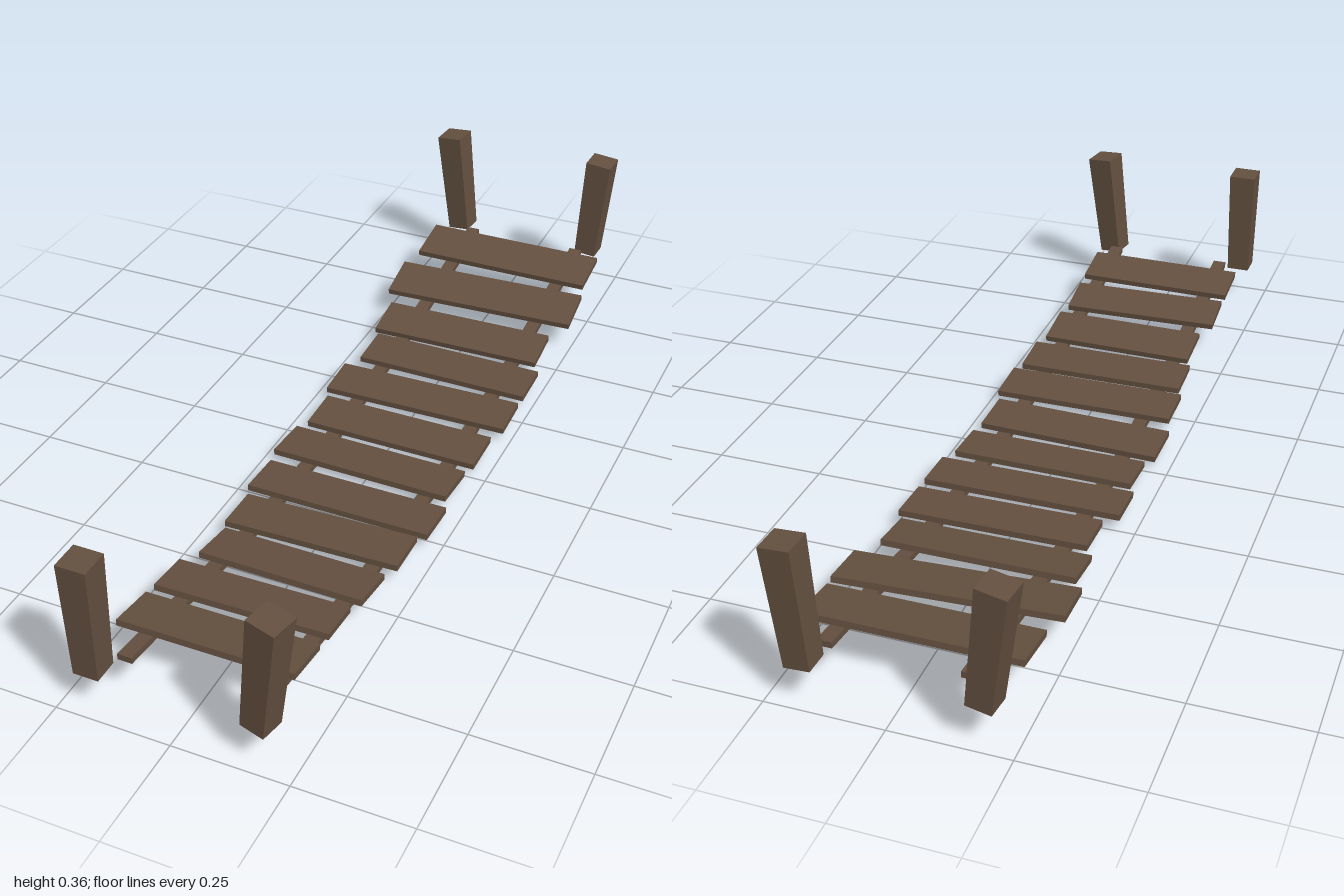
import * as THREE from 'three';

export function createModel() {
  const group = new THREE.Group();
  const wood = new THREE.MeshStandardMaterial({ color: 0x645040, side: THREE.DoubleSide });
  wood.name = 'weathered wood';

  function add(name, geometry) {
    const mesh = new THREE.Mesh(geometry, wood);
    mesh.name = name;
    group.add(mesh);
    return mesh;
  }

  // Sagging rails: a bent strip extruded across the width
  const sag = [[-0.92, 0.107], [-0.43, 0.041], [0, 0.014], [0.43, 0.041], [0.92, 0.107]];
  const strip = new THREE.Shape([
    ...sag.map(([z, y]) => new THREE.Vector2(z, y - 0.014)),
    ...sag.slice().reverse().map(([z, y]) => new THREE.Vector2(z, y)),
  ]);
  for (const [name, x] of [['rightRail', -0.136], ['leftRail', 0.155]]) {
    const rail = new THREE.ExtrudeGeometry(strip, { depth: 0.032, bevelEnabled: false });
    rail.translate(0, 0, -0.016).rotateY(-Math.PI / 2).translate(x, 0, 0);
    add(name, rail);
  }

  // Planks: min x, max x, centre z, depth, yaw, roll
  const planks = [
    [-0.226, 0.23, -0.812, 0.122, 0, 0],
    [-0.24, 0.243, -0.645, 0.122, 0.05, -0.005],
    [-0.21, 0.215, -0.481, 0.109, 0.012, 0.006],
    [-0.19, 0.235, -0.345, 0.109, 0, -0.008],
    [-0.216, 0.235, -0.204, 0.107, 0.01, 0.005],
    [-0.2, 0.219, -0.063, 0.109, -0.01, 0],
    [-0.218, 0.209, 0.077, 0.112, -0.025, 0.006],
    [-0.205, 0.224, 0.229, 0.111, 0, -0.006],
    [-0.19, 0.21, 0.363, 0.112, 0.02, 0.006],
    [-0.176, 0.197, 0.504, 0.113, -0.01, 0],
    [-0.197, 0.187, 0.65, 0.108, 0.025, -0.006],
    [-0.197, 0.188, 0.792, 0.112, 0, 0.005],
  ];
  planks.forEach(([x0, x1, z, depth, yaw, roll], i) => {
    const d = Math.abs(z);
    const slope = d < 0.45 ? 0.055 : 0.155;
    const y = d < 0.45 ? 0.025 + 0.055 * d : 0.05 + 0.155 * (d - 0.45);
    const plank = add('plank' + (i + 1), new THREE.BoxGeometry(x1 - x0, 0.014, depth));
    plank.position.set((x0 + x1) / 2, y, z);
    plank.rotation.set(-Math.sign(z) * Math.atan(slope), yaw, roll, 'YXZ');
  });

  // Leaning end posts, slightly narrower and open at the foot
  function post(name, x, z, yaw, lean) {
    const height = 0.267;
    const geometry = new THREE.BoxGeometry(0.065, height, 0.065);
    geometry.setIndex([...geometry.index.array].filter((v, i) => i < 18 || i >= 24));
    geometry.clearGroups();
    const p = geometry.attributes.position;
    for (let i = 0; i < p.count; i++) {
      if (p.getY(i) < 0) p.setXYZ(i, p.getX(i) * 0.85, p.getY(i), p.getZ(i) * 0.85);
    }
    geometry.translate(0, height / 2, 0).rotateY(yaw).rotateZ(lean);
    geometry.computeVertexNormals();
    add(name, geometry).position.set(x, 0.088, z);
  }
  post('frontLeftPost', 0.172, 0.957, -0.2, -0.12);
  post('frontRightPost', -0.185, 0.955, 0, 0);
  post('backLeftPost', 0.176, -0.965, -0.03, -0.08);
  post('backRightPost', -0.183, -0.964, -0.1, 0.12);

  return group;
}
